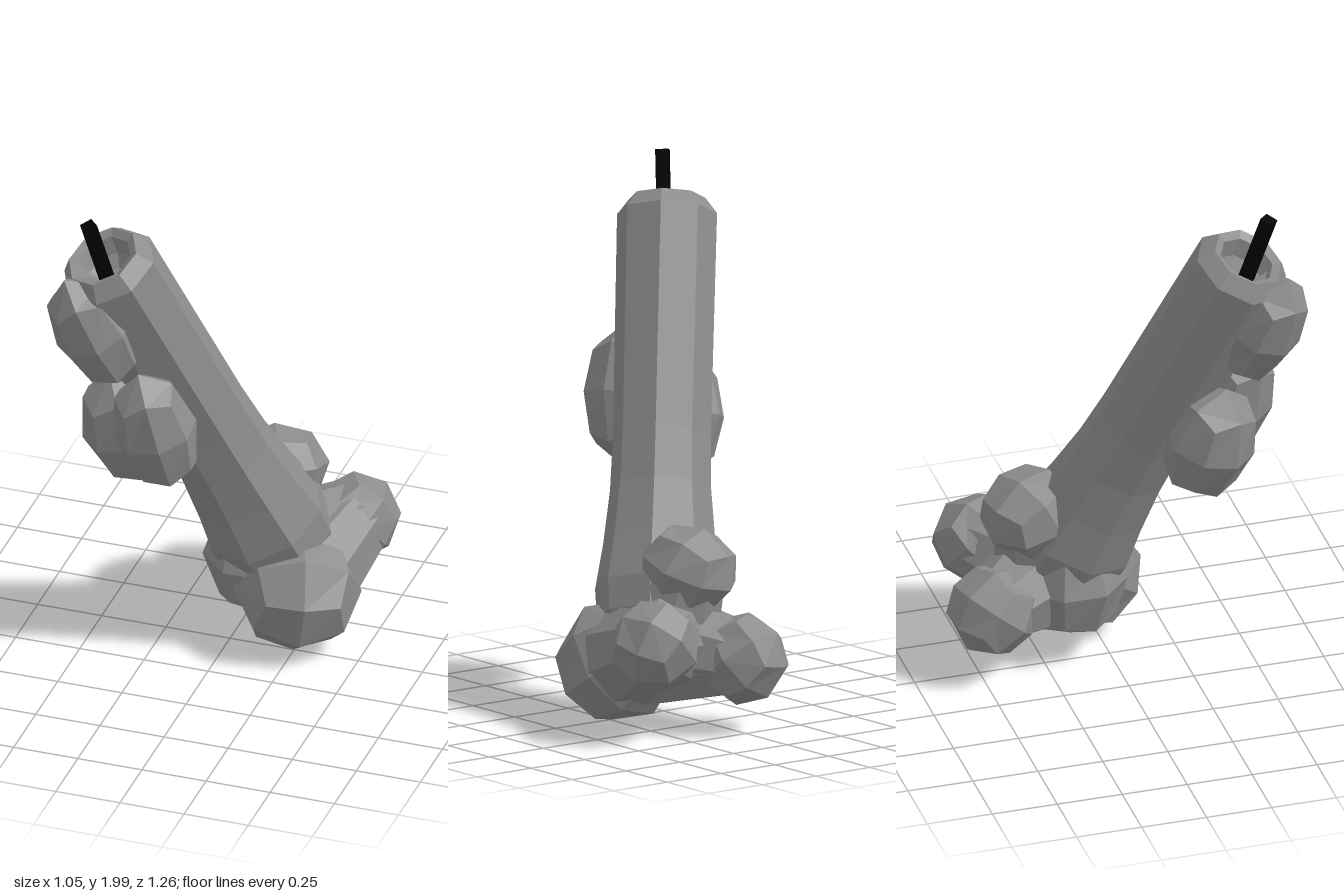
import * as THREE from 'three';

const v = (x, y, z) => new THREE.Vector3(x, y, z);
const UP = v(0, 1, 0);
const TOP = v(-0.345, 1.81, 0.425);
const BASE = v(0.16, 0.32, -0.17);
const AXIS = TOP.clone().sub(BASE).normalize();

// Faceted normals
function facet(geo) {
  const g = geo.index ? geo.toNonIndexed() : geo;
  g.computeVertexNormals();
  return g;
}

// Lump: a coarse cube rounded into a 24-quad ball, stretched along its own y
function lumpGeometry(r, ry, twist) {
  const g = new THREE.BoxGeometry(2, 2, 2, 2, 2, 2);
  const p = g.attributes.position;
  const q = v(0, 0, 0);
  for (let i = 0; i < p.count; i++) {
    q.fromBufferAttribute(p, i).normalize();
    p.setXYZ(i, q.x, q.y, q.z);
  }
  g.rotateY(twist);
  g.scale(r, ry, r);
  return facet(g);
}

export function createModel() {
  const model = new THREE.Group();
  const stone = new THREE.MeshStandardMaterial({ color: 0x8c8c8c });
  const black = new THREE.MeshStandardMaterial({ color: 0x010101 });
  stone.name = 'grey';
  black.name = 'black';

  function add(name, geo, material, position, direction) {
    const mesh = new THREE.Mesh(geo, material);
    mesh.name = name;
    mesh.position.copy(position);
    mesh.quaternion.setFromUnitVectors(UP, direction.clone().normalize());
    model.add(mesh);
  }

  // Tapered rod between two points
  function rod(name, a, b, ra, rb, sides, material) {
    const dir = b.clone().sub(a);
    const geo = new THREE.CylinderGeometry(rb, ra, dir.length(), sides);
    add(name, facet(geo), material, a.clone().add(b).multiplyScalar(0.5), dir);
  }

  // Hollow eight-sided shaft, flaring toward the foot; y = 0 is the rim
  const profile = [
    [0, -1.76], [0.15, -1.73], [0.225, -1.6], [0.235, -1.48], [0.208, -1.3],
    [0.188, -1.1], [0.182, -0.9], [0.186, -0.045], [0.14, 0.015],
    [0.108, 0], [0.09, -0.07], [0.05, -0.11], [0, -0.11],
  ].map(([r, y]) => new THREE.Vector2(r, y));
  add('shaft', facet(new THREE.LatheGeometry(profile, 8)), stone, TOP, AXIS);

  // Rounded foot filling the space between the knuckles
  add('foot', lumpGeometry(0.215, 0.25, 0.4), stone, v(0.075, 0.325, -0.13), UP);

  // Knuckles, each joined to the shaft by a neck
  const core = v(0.15, 0.32, -0.2);
  const front = v(0.245, 0.24, -0.05);
  const left = v(0.35, 0.37, -0.405);
  const right = v(-0.02, 0.28, -0.455);
  const upper = v(0.095, 0.605, -0.28);
  const knuckles = [
    ['frontKnuckle', front, 0.24, 0.235, 0.2],
    ['leftKnuckle', left, 0.172, 0.172, 0.15],
    ['rightKnuckle', right, 0.175, 0.172, 0.14],
    ['upperKnuckle', upper, 0.188, 0.165, 0.14],
  ];
  for (const [name, c, r, rLong, neck] of knuckles) {
    add(name, lumpGeometry(r, rLong, 0.4), stone, c, v(c.x - core.x, 0.25, c.z - core.z));
    rod(name + 'Neck', core, c, 0.2, neck, 8, stone);
  }

  // Webs running from the big front knuckle to the two rear ones
  rod('leftWeb', front, left, 0.205, 0.15, 8, stone);
  rod('rightWeb', front, right, 0.19, 0.135, 8, stone);

  // Elongated growths on the front of the shaft
  const growths = [
    ['upperGrowth', v(-0.367, 1.53, 0.477), 0.15, 0.268, v(-0.17, 0.46, 0.15)],
    ['rightGrowth', v(-0.3, 1.035, 0.295), 0.172, 0.25, v(-0.1, 0.46, 0.1)],
    ['leftGrowth', v(-0.145, 1.115, 0.425), 0.156, 0.265, v(-0.1, 0.5, 0.1)],
  ];
  for (const [name, c, r, rLong, dir] of growths) {
    add(name, lumpGeometry(r, rLong, 0.4), stone, c, dir);
  }

  // Fuse rising from the hollow
  rod('fuse', v(-0.33, 1.72, 0.425), v(-0.38, 1.99, 0.5), 0.034, 0.034, 4, black);

  return model;
}
